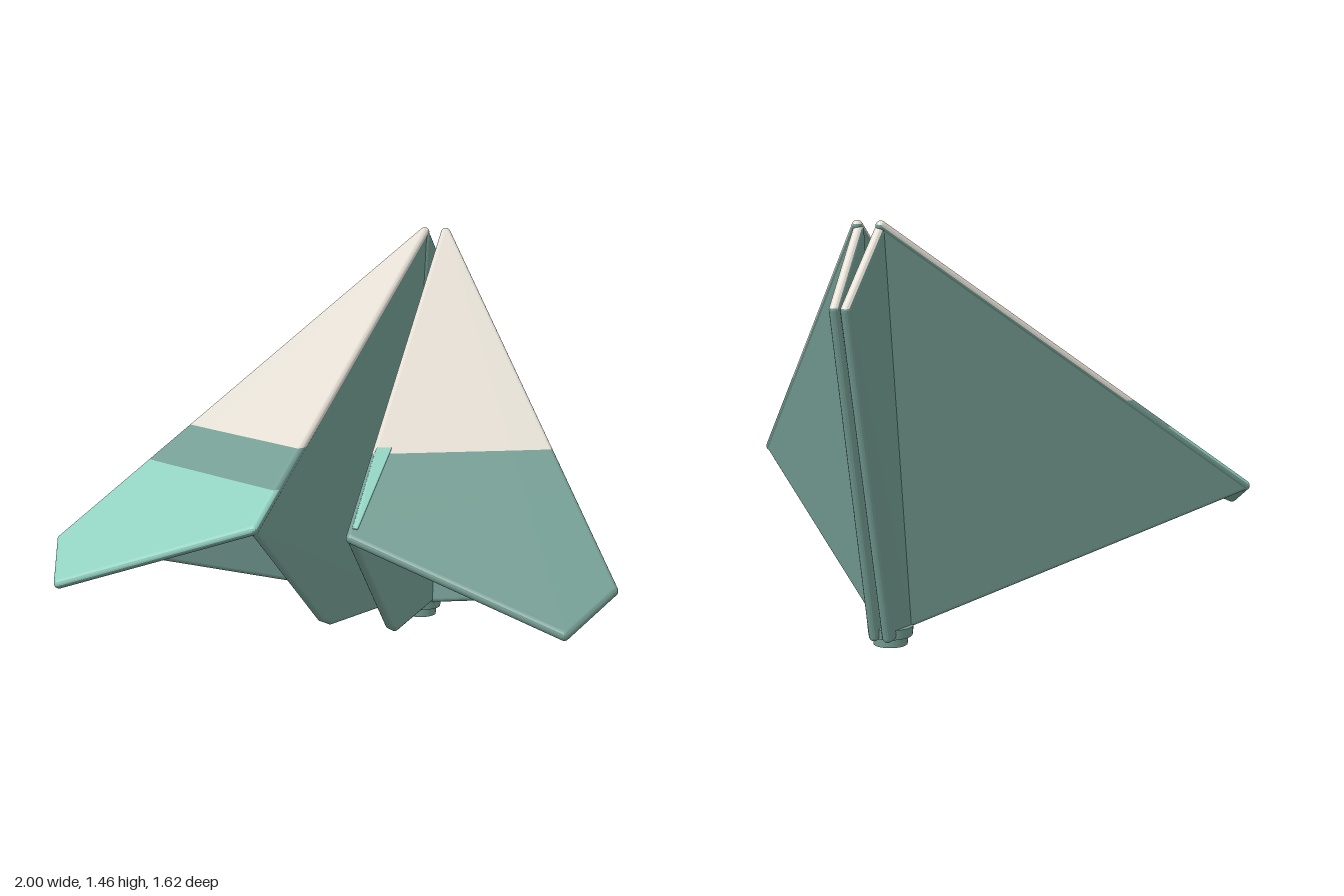
import * as THREE from 'three';
import { ConvexGeometry } from 'three/addons/geometries/ConvexGeometry.js';

const V = (x, y, z) => new THREE.Vector3(x, y, z);
const mat = (name, color) => {
  const m = new THREE.MeshStandardMaterial({ color });
  m.name = name;
  return m;
};

// Thick sheet with rounded edges: the hull of a small ball at every corner
function sheet(corners, r) {
  const ball = new THREE.SphereGeometry(r, 14, 10).attributes.position;
  const pts = [];
  for (const c of corners)
    for (let i = 0; i < ball.count; i++)
      pts.push(V(0, 0, 0).fromBufferAttribute(ball, i).add(c));
  return new ConvexGeometry(pts);
}

// Part of a polygon on one side of a height (keep = 1 above, -1 below)
function clip(poly, y, keep) {
  const out = [];
  poly.forEach((a, i) => {
    const b = poly[(i + 1) % poly.length];
    const da = (a.y - y) * keep, db = (b.y - y) * keep;
    if (da >= 0) out.push(a);
    if (da * db < 0) out.push(a.clone().lerp(b, da / (da - db)));
  });
  return out;
}

// Cuts a geometry at the given heights and gives each face the material
// chosen by paint(band, normal); returns one mesh per material
function paintedPart(name, geo, heights, paint) {
  const group = new THREE.Group();
  group.name = name;
  const faces = new Map();
  const p = geo.attributes.position;
  for (let i = 0; i < p.count; i += 3) {
    const tri = [0, 1, 2].map(k => V(0, 0, 0).fromBufferAttribute(p, i + k));
    const n = new THREE.Triangle(...tri).getNormal(V(0, 0, 0));
    let rest = tri;
    for (let band = 0; band <= heights.length && rest.length > 2; band++) {
      const last = band === heights.length;
      const piece = last ? rest : clip(rest, heights[band], 1);
      if (!last) rest = clip(rest, heights[band], -1);
      if (piece.length < 3) continue;
      const m = paint(band, n);
      if (!faces.has(m)) faces.set(m, []);
      for (let k = 1; k < piece.length - 1; k++)
        faces.get(m).push(piece[0], piece[k], piece[k + 1]);
    }
  }
  for (const [m, pts] of faces) {
    const g = new THREE.BufferGeometry().setFromPoints(pts);
    g.computeVertexNormals();
    const mesh = new THREE.Mesh(g, m);
    mesh.name = `${name} ${m.name}`;
    group.add(mesh);
  }
  return group;
}

export function createModel() {
  const model = new THREE.Group();
  model.name = 'foldedPaperPlane';
  const cream = mat('cream paper', 0xe2dcd2);
  const green = mat('sage green', 0x739c92);
  const mint = mat('light mint', 0x90d0bf);
  const add = (name, geo, m) => {
    const mesh = new THREE.Mesh(geo, m);
    mesh.name = name;
    model.add(mesh);
    return mesh;
  };

  for (const s of [1, -1]) {
    const side = s > 0 ? 'left' : 'right';
    const nose = V(s * 0.042, 1.445, -0.57);
    const inner = V(s * 0.17, 0.585, 0.765);
    const tail = V(s * 0.88, 0.345, 0.79);
    const tip = V(s * 0.98, 0.44, 0.58);
    const up = V(s * 0.258, 0.822, 0.508).normalize();

    // Wing: cream nose end, coloured tail end, green underside
    model.add(paintedPart(side + 'Wing', sheet([nose, inner, tail, tip], 0.018), [0.8, 0.69],
      (band, n) => {
        const facing = n.dot(up);
        if (band === 0) return facing > -0.2 ? cream : green;
        return band === 2 && s < 0 && facing > 0.3 ? mint : green;
      }));

    // Outer triangular fold from wing edge down to the foot
    add(side + 'OuterFold',
      sheet([nose, tip, V(s * 0.06, 0.075, -0.38)].map(c => c.clone().addScaledVector(up, -0.003)), 0.014), green);

    // Inner wall of the central valley
    const wall = [nose, inner, V(s * 0.128, 0.165, 0.29), V(s * 0.122, 0.135, 0.22), V(s * 0.055, 0.08, -0.37)];
    add(side + 'InnerWall', sheet(wall.map(c => c.clone().addScaledVector(up, -0.003)), 0.014), green);

    // Half of the spine, with a cream top edge
    const spine = [V(s * 0.038, 1.43, -0.57), V(s * 0.02, 1.195, -0.79),
      V(s * 0.025, 0.045, -0.495), V(s * 0.05, 0.06, -0.39)];
    model.add(paintedPart(side + 'Spine', sheet(spine, 0.018), [1.15],
      (band, n) => (band === 0 && n.y > 0.3 ? cream : green)));
  }

  // Thin mint sliver along the inner edge of the left wing
  const up = V(0.258, 0.822, 0.508).normalize();
  const sliver = [V(0.135, 0.8, 0.435), V(0.175, 0.8, 0.415), V(0.178, 0.6, 0.74), V(0.167, 0.6, 0.742)];
  add('leftWingSliver', sheet(sliver.map(c => c.addScaledVector(up, 0.016)), 0.004), mint);

  // Small stepped foot
  const foot = [[0.062, 0.05, 0.025], [0.08, 0.035, 0.05]];
  for (const [r, h, y] of foot) {
    const mesh = add('foot', new THREE.CylinderGeometry(r, r * 0.95, h, 32), green);
    mesh.position.set(0, y, -0.415);
  }
  return model;
}
